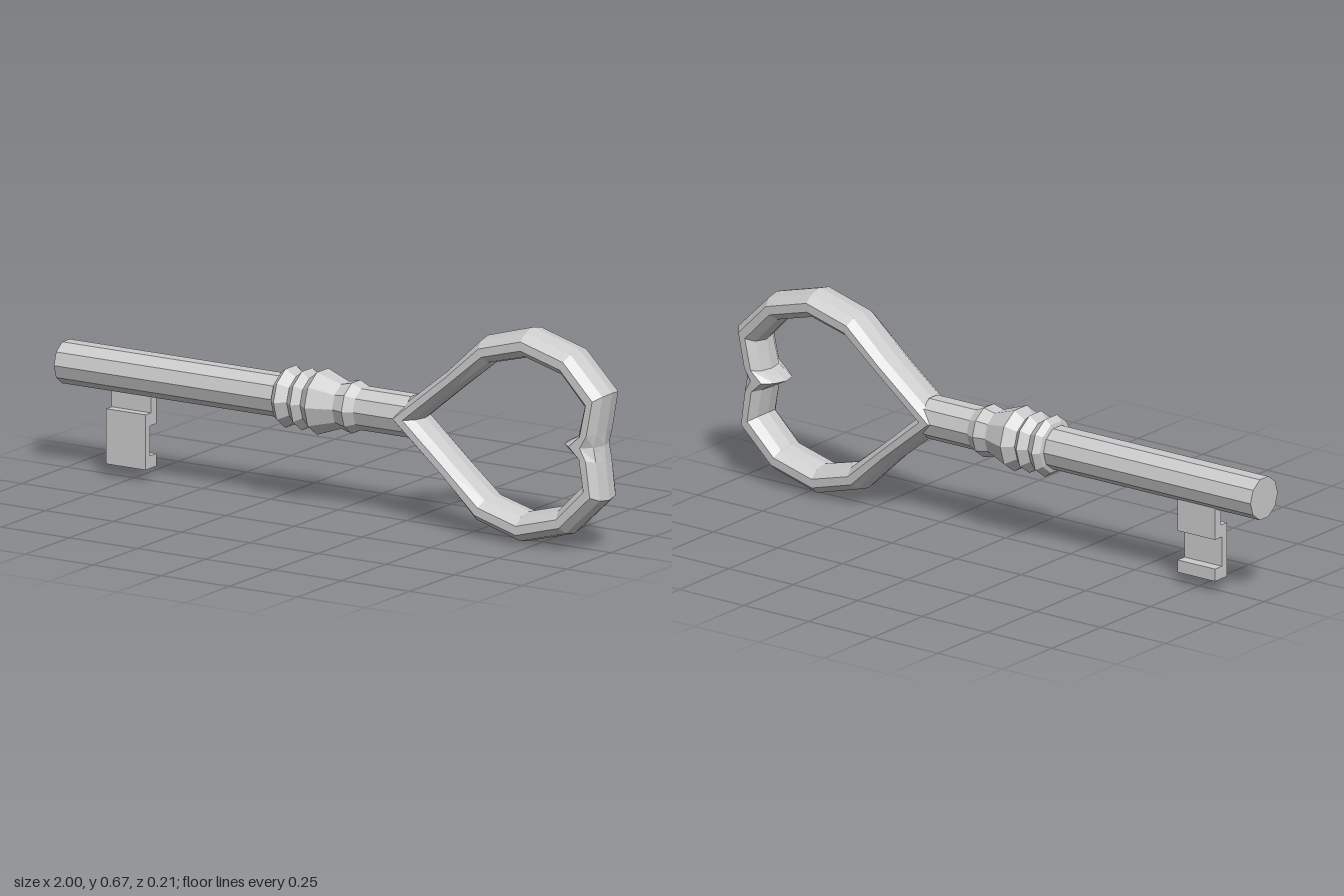
import * as THREE from 'three';

const AXIS_Y = 0.342;
const SIDES = 10;

// Surface of revolution about the key's long axis; points are [x, radius]
function turned(points, material) {
  const geo = new THREE.LatheGeometry(points.map(([x, r]) => new THREE.Vector2(r, x)), SIDES);
  geo.rotateZ(-Math.PI / 2).translate(0, AXIS_Y, 0);
  return new THREE.Mesh(geo, material);
}

// Heart-shaped ring: each station is [outer x, outer y, inner x, inner y], y relative to the axis
function bowGeometry() {
  const half = [
    [0.205, 0, 0.32, 0],
    [0.42, 0.174, 0.455, 0.114],
    [0.54, 0.289, 0.575, 0.209],
    [0.705, 0.336, 0.705, 0.243],
    [0.875, 0.289, 0.838, 0.207],
    [1.0, 0.168, 0.922, 0.12],
    [0.982, 0.045, 0.902, 0.03],
    [0.977, 0, 0.845, 0],
  ];
  const mirrored = half.slice(1, -1).reverse().map(([ox, oy, ix, iy]) => [ox, -oy, ix, -iy]);
  const stations = [...half, ...mirrored];
  const depth = 0.076, tilt = -0.045;
  const positions = [], index = [];
  const n = stations.length;
  stations.forEach(([ox, oy, ix, iy], i) => {
    for (let j = 0; j < SIDES; j++) {
      const a = (j / SIDES) * Math.PI * 2;
      const k = (1 + Math.cos(a)) / 2;
      const y = iy + (oy - iy) * k;
      // the ring leans slightly out of the key's plane
      positions.push(ix + (ox - ix) * k, AXIS_Y + y, Math.sin(a) * depth + y * tilt - 0.001);
      const j2 = (j + 1) % SIDES, i2 = (i + 1) % n;
      const p = i * SIDES + j, q = i * SIDES + j2, r = i2 * SIDES + j, s = i2 * SIDES + j2;
      index.push(p, q, r, q, s, r);
    }
  });
  const geo = new THREE.BufferGeometry();
  geo.setAttribute('position', new THREE.Float32BufferAttribute(positions, 3));
  geo.setIndex(index);
  geo.computeVertexNormals();
  return geo;
}

// Stepped bit: profile of [z, y] swept along x
function bitGeometry() {
  const profile = [
    [0, 0.3], [-0.03, 0.3], [-0.03, 0.18], [0.005, 0.18], [0.005, 0.085],
    [-0.03, 0.085], [-0.03, 0.045], [0.03, 0.045], [0.03, 0.22], [0, 0.22],
  ];
  const shape = new THREE.Shape(profile.map(([z, y]) => new THREE.Vector2(-z, y)));
  const geo = new THREE.ExtrudeGeometry(shape, { depth: 0.145, bevelEnabled: false });
  return geo.rotateY(Math.PI / 2).scale(1, 1, 1).translate(-0.833, 0, 0);
}

export function createModel() {
  const group = new THREE.Group();
  const material = new THREE.MeshStandardMaterial({ color: 0xcccccc, flatShading: true });
  const add = (mesh, name) => { mesh.name = name; group.add(mesh); };

  add(turned([[-1, 0], [-1, 0.069], [0.28, 0.069], [0.28, 0]], material), 'shaft');

  // Ridged collar with a long taper towards the bow
  add(turned([
    [-0.2, 0.066], [-0.195, 0.082], [-0.175, 0.098], [-0.142, 0.074], [-0.115, 0.098],
    [-0.092, 0.076], [-0.058, 0.104], [0.025, 0.074], [0.065, 0.084], [0.1, 0.068],
  ], material), 'collar');

  add(new THREE.Mesh(bowGeometry(), material), 'bow');
  add(new THREE.Mesh(bitGeometry(), material), 'bit');
  return group;
}
